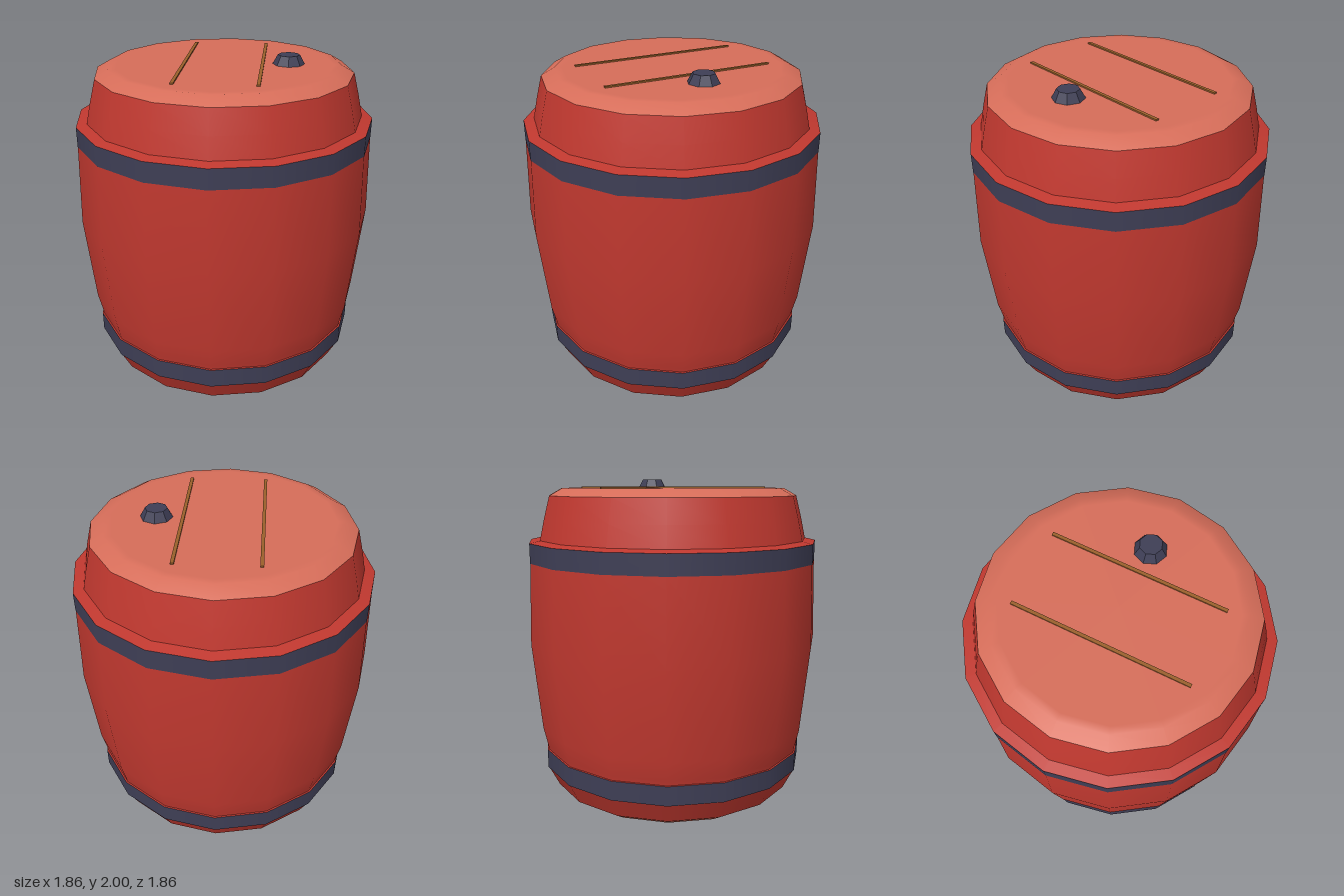
import * as THREE from 'three';

const SIDES = 16;

export function createModel() {
  const mat = (name, color) => {
    const m = new THREE.MeshStandardMaterial({ color });
    m.name = name;
    return m;
  };
  const red = mat('red staves', 0xc0382f);
  const coral = mat('coral ends', 0xd66d59);
  const iron = mat('dark hoops', 0x3e3e55);
  const brown = mat('brown seams', 0x9a602b);

  const group = new THREE.Group();
  group.name = 'barrel';
  const add = (name, geometry, material) => {
    const mesh = new THREE.Mesh(geometry, material);
    mesh.name = name;
    group.add(mesh);
    return mesh;
  };
  // Profiles run from the bottom up as [radius, height]
  const ring = (name, profile, material) =>
    add(name, new THREE.LatheGeometry(profile.map(([r, y]) => new THREE.Vector2(r, y)), SIDES), material);

  // Barrel ends with bevelled rims
  ring('bottom', [[0, 0], [0.66, 0], [0.705, 0], [0.785, 0.05]], coral);
  ring('lid', [[0.785, 1.9], [0.705, 1.945], [0.66, 1.945], [0, 1.945]], coral);

  // Red staves
  ring('lowerStaves', [[0.785, 0.05], [0.85, 0.18]], red);
  ring('middleStaves', [[0.845, 0.3], [0.85, 0.33], [0.877, 0.45], [0.93, 1], [0.914, 1.5]], red);
  ring('shoulder', [[0.915, 1.62], [0.85, 1.635]], red);
  ring('upperStaves', [[0.85, 1.635], [0.822, 1.76], [0.785, 1.9]], red);

  // Iron hoops
  ring('lowerHoop', [[0.855, 0.18], [0.855, 0.3]], iron);
  ring('upperHoop', [[0.915, 1.5], [0.915, 1.62]], iron);

  // Thin ledges closing the lower hoop and the underside of the upper one
  ring('lowerHoopLedge', [[0.855, 0.3], [0.84, 0.302]], red);
  ring('lowerHoopUnderside', [[0.84, 0.18], [0.855, 0.18]], iron);
  ring('upperHoopUnderside', [[0.9, 1.5], [0.915, 1.5]], iron);

  // Plank seams on the lid
  for (const side of [-1, 1]) {
    add('lidSeam', new THREE.BoxGeometry(0.02, 0.009, 1.06), brown).position.set(side * 0.235, 1.949, 0);
  }

  // Stopper
  const knob = new THREE.CylinderGeometry(0.066, 0.096, 0.055, 8).toNonIndexed();
  knob.computeVertexNormals();
  add('stopper', knob, iron).position.set(0.39, 1.9725, 0);

  return group;
}
